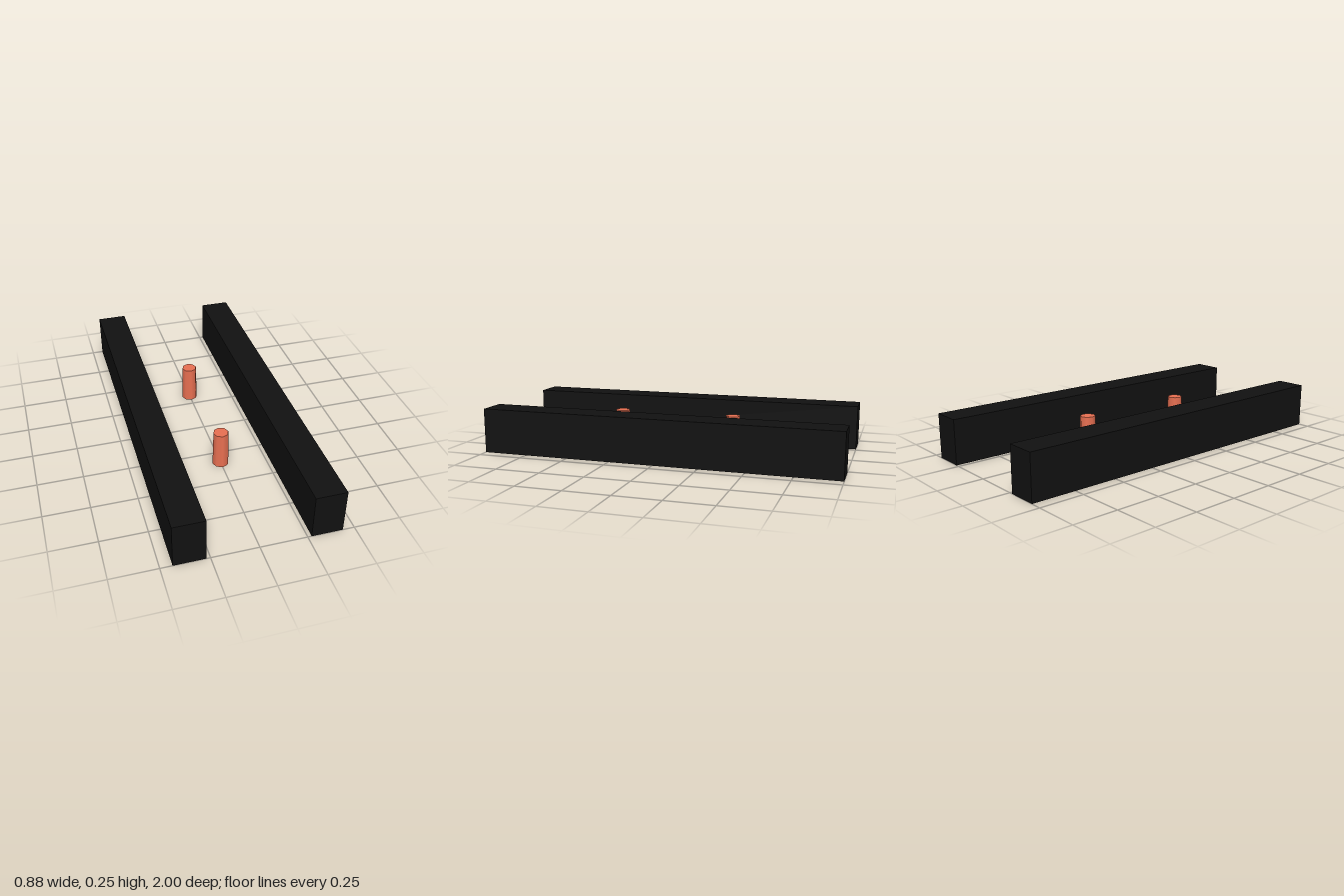
import * as THREE from 'three';

export function createModel() {
  const model = new THREE.Group();
  const black = new THREE.MeshStandardMaterial({ color: 0x111111 });
  black.name = 'black';
  const orange = new THREE.MeshStandardMaterial({ color: 0xe76f51 });
  orange.name = 'orange';

  // Two long side rails, mirrored across x
  const railGeometry = new THREE.BoxGeometry(0.1667, 0.25, 2);
  for (const [name, side] of [['leftRail', 1], ['rightRail', -1]]) {
    const rail = new THREE.Mesh(railGeometry, black);
    rail.name = name;
    rail.position.set(side * 0.3542, 0.125, 0);
    model.add(rail);
  }

  // Two slightly tapered eight-sided posts along the centre line
  const postHeight = 0.2083;
  const postGeometry = new THREE.CylinderGeometry(0.0417, 0.0458, postHeight, 8);
  for (const [name, side] of [['frontPost', 1], ['backPost', -1]]) {
    const post = new THREE.Mesh(postGeometry, orange);
    post.name = name;
    post.position.set(0, postHeight / 2, side * 0.3333);
    model.add(post);
  }

  return model;
}
